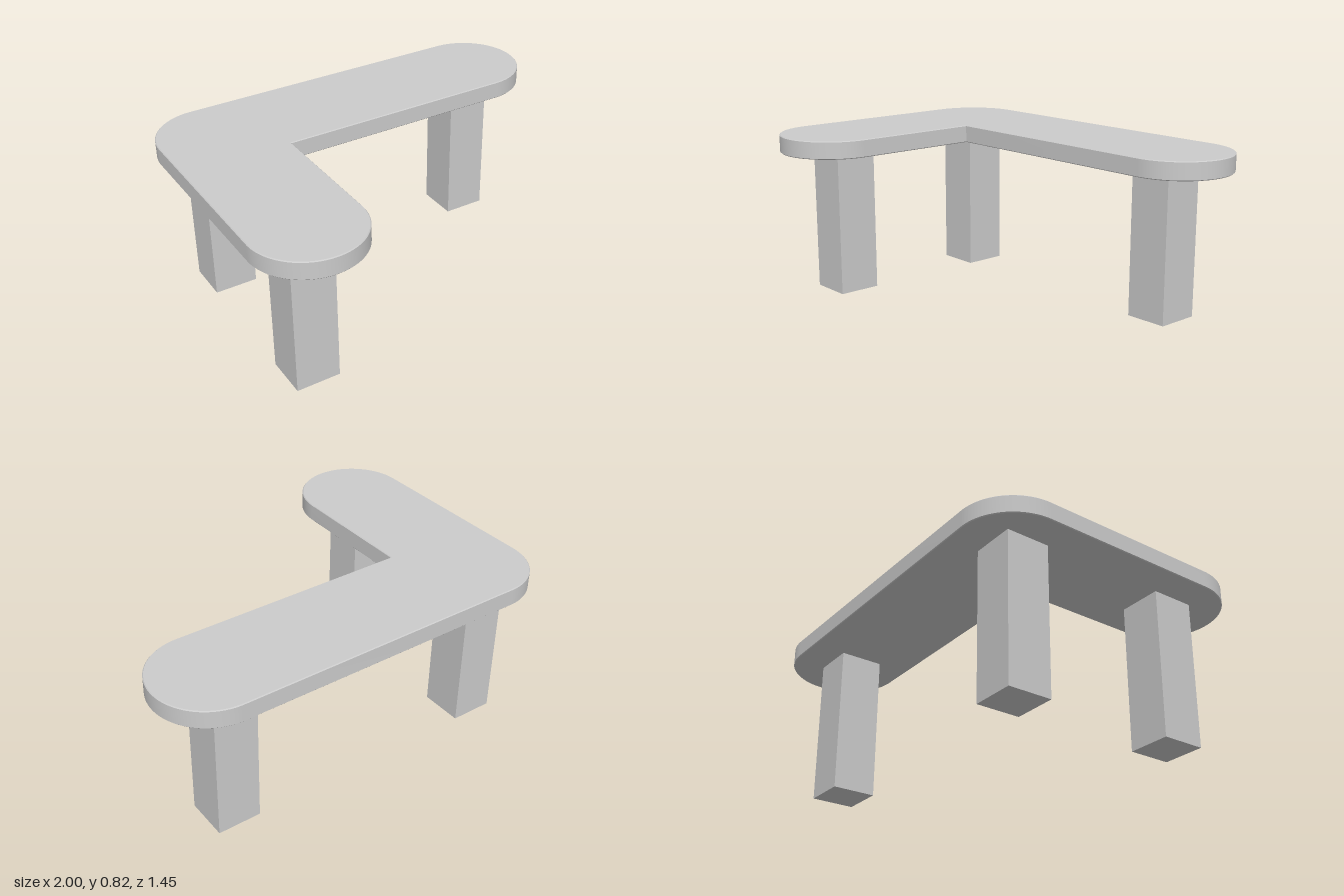
import * as THREE from 'three';
import { toCreasedNormals } from 'three/addons/utils/BufferGeometryUtils.js';

const HALF_DEPTH = 0.727; // half of the overall depth
const R = 0.271;          // half the width of each arm
const LEG_HEIGHT = 0.73;
const TOP_THICKNESS = 0.089;
const LEG_SIZE = 0.216;
const BEVEL = 0.004;      // fine softening of the top's edges

export function createModel() {
  const group = new THREE.Group();
  group.name = 'cornerTable';
  const material = new THREE.MeshStandardMaterial({ color: 0xcccccc });

  // L-shaped top with rounded ends and a rounded outer corner (shape y = -z)
  const back = HALF_DEPTH - R;
  const innerX = -1 + 2 * R;
  const innerY = HALF_DEPTH - 2 * R;
  const outline = new THREE.Shape();
  outline.moveTo(innerX, innerY);
  outline.lineTo(1 - R, innerY);
  outline.absarc(1 - R, back, R, -Math.PI / 2, Math.PI / 2);
  outline.absarc(-1 + R, back, R, Math.PI / 2, Math.PI);
  outline.absarc(-1 + R, -back, R, Math.PI, 2 * Math.PI);
  outline.lineTo(innerX, innerY);
  const slab = new THREE.ExtrudeGeometry(outline, {
    depth: TOP_THICKNESS - 2 * BEVEL,
    bevelSize: BEVEL, bevelThickness: BEVEL, bevelOffset: -BEVEL, bevelSegments: 1,
    curveSegments: 32,
  });
  slab.rotateX(-Math.PI / 2);
  const top = new THREE.Mesh(toCreasedNormals(slab, Math.PI / 6), material);
  top.name = 'tableTop';
  top.position.y = LEG_HEIGHT + BEVEL;
  group.add(top);

  // Three square legs: outer corner and the end of each arm
  const legGeometry = new THREE.BoxGeometry(LEG_SIZE, LEG_HEIGHT, LEG_SIZE);
  const legs = [
    ['cornerLeg', -0.731, -0.455],
    ['longArmLeg', 0.671, -0.455],
    ['shortArmLeg', -0.731, 0.401],
  ];
  for (const [name, x, z] of legs) {
    const leg = new THREE.Mesh(legGeometry, material);
    leg.name = name;
    leg.position.set(x, LEG_HEIGHT / 2, z);
    group.add(leg);
  }
  return group;
}
